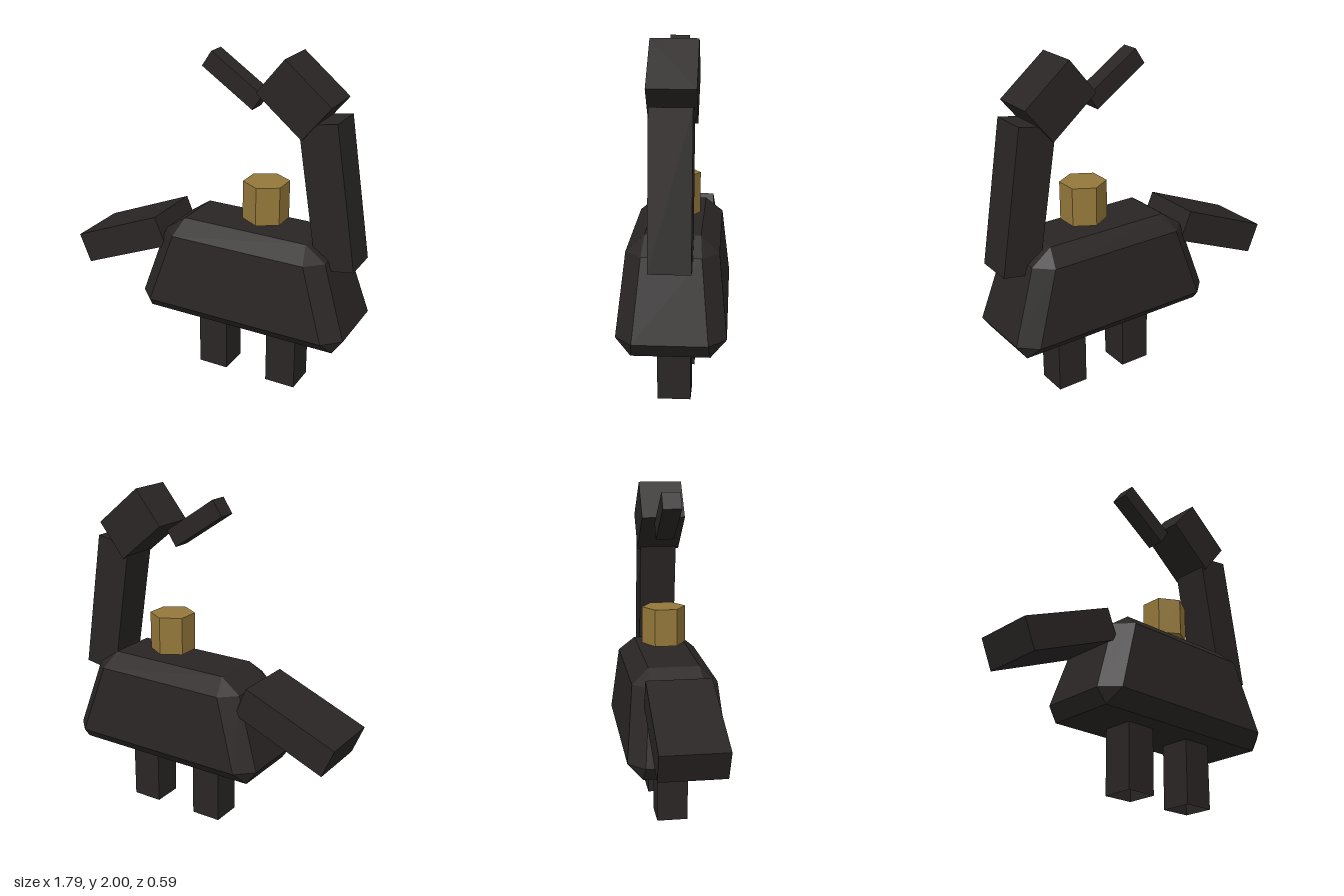
import * as THREE from 'three';

export function createModel() {
  const model = new THREE.Group();
  const dark = new THREE.MeshStandardMaterial({ color: 0x2a2525, flatShading: true, side: THREE.DoubleSide });
  const gold = new THREE.MeshStandardMaterial({ color: 0x94783a, flatShading: true });

  const add = (name, geometry, material, x, y, tilt = 0) => {
    const mesh = new THREE.Mesh(geometry, material);
    mesh.name = name;
    mesh.position.set(x, y, 0);
    mesh.rotation.z = THREE.MathUtils.degToRad(tilt);
    model.add(mesh);
    return mesh;
  };
  const box = (name, w, h, d, x, y, tilt) => add(name, new THREE.BoxGeometry(w, h, d), dark, x, y, tilt);

  // Body: a tapered block with bevelled edges, made of four stacked outlines.
  // Each outline: y, end x, side x, side z, end z (half sizes about the body middle)
  const cx = 0.237;
  const sections = [
    [0.385, 0.595, 0.595, 0.21, 0.21],
    [0.47, 0.653, 0.555, 0.295, 0.2],
    [0.9, 0.51, 0.415, 0.25, 0.16],
    [0.987, 0.385, 0.385, 0.15, 0.15],
  ];
  const rings = sections.map(([y, ex, sx, sz, ez]) =>
    [[ex, ez], [ex, -ez], [sx, -sz], [-sx, -sz], [-ex, -ez], [-ex, ez], [-sx, sz], [sx, sz]]
      .map(([x, z]) => [x, y, z]));
  const points = [];
  for (let r = 0; r < 3; r++) {
    for (let i = 0; i < 8; i++) {
      const j = (i + 1) % 8;
      const a = rings[r][i], b = rings[r][j], c = rings[r + 1][j], d = rings[r + 1][i];
      // collapsed corners of the end outlines leave single triangles
      if (a.join() !== b.join()) points.push(...a, ...b, ...c);
      if (c.join() !== d.join()) points.push(...a, ...c, ...d);
    }
  }
  // Top and bottom caps
  const [bottom, top] = [rings[0], rings[3]];
  for (const [i, j] of [[1, 3], [3, 5]]) {
    points.push(...top[7], ...top[i], ...top[j]);
    points.push(...bottom[7], ...bottom[j], ...bottom[i]);
  }
  const bodyGeometry = new THREE.BufferGeometry();
  bodyGeometry.setAttribute('position', new THREE.Float32BufferAttribute(points, 3));
  bodyGeometry.computeVertexNormals();
  add('body', bodyGeometry, dark, cx, 0);

  // Legs: square tubes, open underneath
  for (const [name, x] of [['rearLeg', 0.008], ['frontLeg', 0.463]]) {
    const leg = new THREE.CylinderGeometry(0.187 / Math.SQRT2, 0.187 / Math.SQRT2, 0.4, 4, 1, true, Math.PI / 4);
    add(name, leg, dark, x, 0.2);
  }

  // Neck, head, floating bar and tail
  box('neck', 0.225, 0.84, 0.225, 0.717, 1.257, 9.3);
  box('head', 0.355, 0.26, 0.26, 0.511, 1.787, -39.3);
  box('floatingBar', 0.379, 0.108, 0.11, 0.107, 1.825, -33.7);
  box('tail', 0.61, 0.187, 0.38, -0.58, 0.762, 22.6);

  // Six-sided gold piece above the back
  add('goldHexagon', new THREE.CylinderGeometry(0.134, 0.134, 0.228, 6), gold, 0.305, 1.14);

  return model;
}
